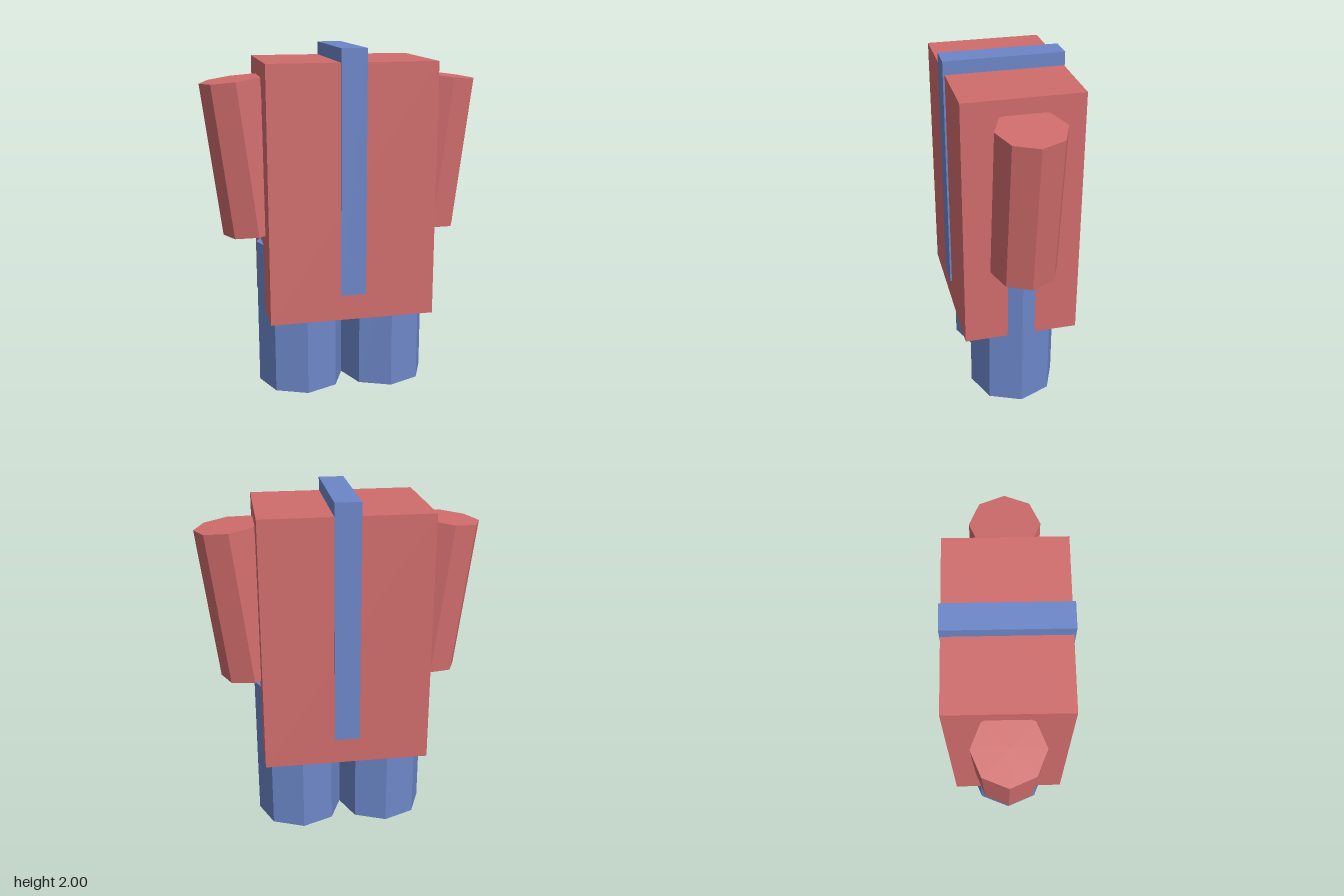
import * as THREE from 'three';

export function createModel() {
  const model = new THREE.Group();
  model.name = 'blockFigure';
  const red = new THREE.MeshStandardMaterial({ color: 0xd06c6c, flatShading: true });
  const blue = new THREE.MeshStandardMaterial({ color: 0x6c86c8, flatShading: true });

  const add = (name, geometry, material, x, y, z) => {
    const mesh = new THREE.Mesh(geometry, material);
    mesh.name = name;
    mesh.position.set(x, y, z);
    model.add(mesh);
    return mesh;
  };

  // Torso block with a band running over the front, top and back
  add('torso', new THREE.BoxGeometry(0.946, 1.45, 0.652), red, 0, 1.2, -0.003);
  add('centreBand', new THREE.BoxGeometry(0.144, 1.375, 0.666), blue, 0, 1.3125, 0);

  // Eight-sided legs and splayed arms, mirrored left and right
  const legGeometry = new THREE.CylinderGeometry(0.254, 0.254, 0.875, 8);
  const armGeometry = new THREE.CylinderGeometry(0.188, 0.188, 0.875, 8);
  for (const [side, s] of [['left', 1], ['right', -1]]) {
    add(side + 'Leg', legGeometry, blue, s * 0.252, 0.4375, -0.003);
    const arm = add(side + 'Arm', armGeometry, red, s * 0.561, 1.386, -0.004);
    arm.rotation.z = -s * 0.12;
  }
  return model;
}
